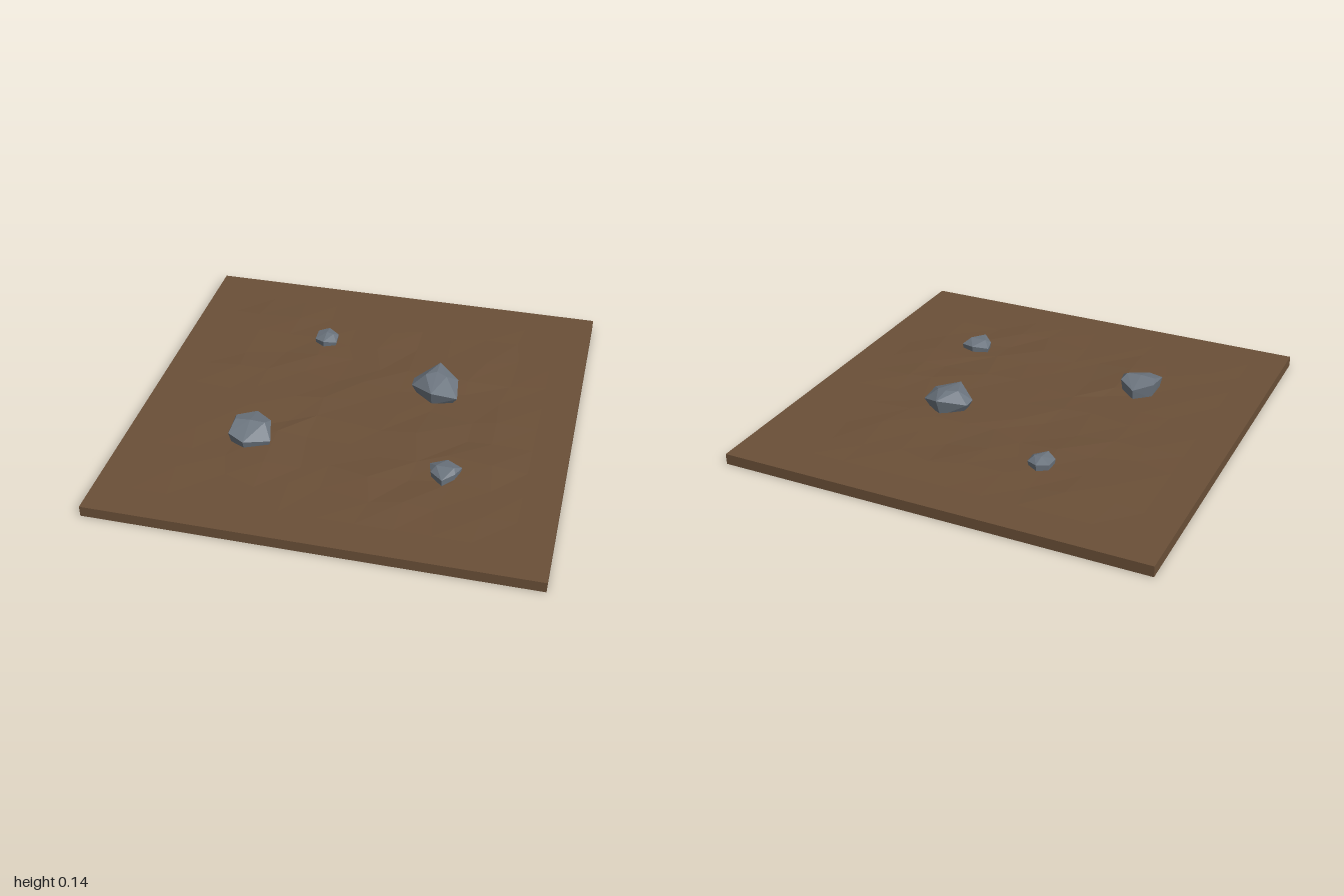
import * as THREE from 'three';
import { ConvexGeometry } from 'three/addons/geometries/ConvexGeometry.js';

const soil = new THREE.MeshStandardMaterial({ color: 0x6b5038, flatShading: true });
soil.name = 'soil brown';
const stone = new THREE.MeshStandardMaterial({ color: 0x6c757f, flatShading: true });
stone.name = 'stone grey';

// Small seeded generator for the ground bumps
function seeded(seed) {
  let s = seed;
  return () => (s = (s * 16807) % 2147483647) / 2147483647;
}

// Square slab whose top is gently uneven away from the rim
function makeGround() {
  const geometry = new THREE.BoxGeometry(2, 0.05, 2, 12, 1, 12).translate(0, 0.025, 0);
  const p = geometry.attributes.position;
  const random = seeded(4711);
  for (let i = 0; i < p.count; i++) {
    const x = p.getX(i), z = p.getZ(i);
    if (p.getY(i) < 0.04 || Math.max(Math.abs(x), Math.abs(z)) > 0.8) continue;
    p.setXYZ(i, x + (random() - 0.5) * 0.08, 0.05 + Math.max(0, random() - 0.3) * 0.012,
      z + (random() - 0.5) * 0.08);
  }
  geometry.computeVertexNormals();
  const mesh = new THREE.Mesh(geometry, soil);
  mesh.name = 'ground';
  return mesh;
}

// Faceted rock: shoulder and crown corners, with a narrower buried foot below
function makeRock(name, cx, cz, foot, corners) {
  const points = [];
  for (const [x, y, z] of corners) {
    points.push(new THREE.Vector3(x, y, z));
    points.push(new THREE.Vector3(cx + (x - cx) * foot, 0.04, cz + (z - cz) * foot));
  }
  const mesh = new THREE.Mesh(new ConvexGeometry(points), stone);
  mesh.name = name;
  return mesh;
}

export function createModel() {
  const model = new THREE.Group();
  model.name = 'rockyGround';
  model.add(
    makeGround(),
    makeRock('largeRock', 0.32, -0.17, 0.75, [
      [0.32, 0.134, -0.315], [0.21, 0.09, -0.22], [0.42, 0.095, -0.245], [0.44, 0.085, -0.1],
      [0.32, 0.12, -0.065], [0.21, 0.09, -0.16], [0.27, 0.14, -0.19], [0.32, 0.144, -0.22],
      [0.37, 0.135, -0.2],
    ]),
    makeRock('mediumRock', -0.43, 0.345, 0.88, [
      [-0.44, 0.1, 0.225], [-0.355, 0.11, 0.295], [-0.325, 0.08, 0.41], [-0.44, 0.09, 0.46],
      [-0.52, 0.1, 0.42], [-0.52, 0.115, 0.295], [-0.51, 0.127, 0.34], [-0.44, 0.132, 0.34],
      [-0.37, 0.128, 0.34],
    ]),
    makeRock('flatRock', 0.48, 0.425, 0.9, [
      [0.48, 0.085, 0.36], [0.55, 0.075, 0.39], [0.53, 0.085, 0.455], [0.48, 0.088, 0.515],
      [0.42, 0.08, 0.455], [0.405, 0.075, 0.39], [0.44, 0.1, 0.43], [0.52, 0.1, 0.43],
    ]),
    makeRock('smallRock', -0.3, -0.5, 0.9, [
      [-0.3, 0.085, -0.565], [-0.245, 0.075, -0.53], [-0.24, 0.07, -0.46], [-0.3, 0.085, -0.43],
      [-0.35, 0.075, -0.465], [-0.35, 0.08, -0.535], [-0.3, 0.097, -0.505], [-0.265, 0.093, -0.5],
    ]),
  );
  return model;
}
